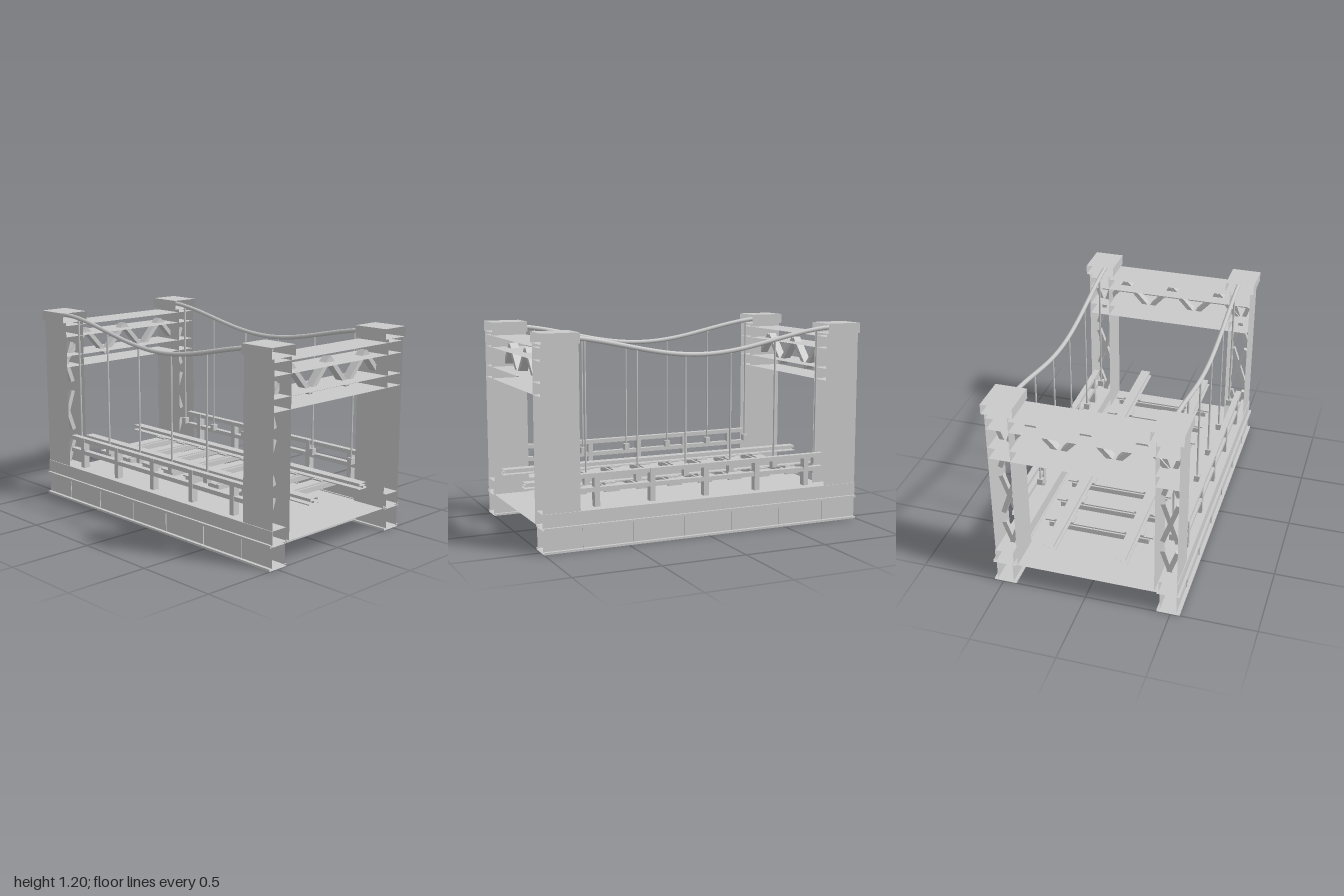
import * as THREE from 'three';

export function createModel() {
  const root = new THREE.Group();
  root.name = 'suspensionBridge';
  const steel = new THREE.MeshStandardMaterial({ color: 0xcacaca, side: THREE.DoubleSide });
  steel.name = 'steelGrey';

  const group = (name) => {
    const g = new THREE.Group();
    g.name = name;
    root.add(g);
    return g;
  };
  const add = (parent, name, geo, x = 0, y = 0, z = 0) => {
    const m = new THREE.Mesh(geo, steel);
    m.name = name;
    m.position.set(x, y, z);
    parent.add(m);
    return m;
  };
  // Solid box given by its ranges
  const box = (parent, name, [x0, x1], [y0, y1], [z0, z1]) =>
    add(parent, name, new THREE.BoxGeometry(x1 - x0, y1 - y0, z1 - z0),
      (x0 + x1) / 2, (y0 + y1) / 2, (z0 + z1) / 2);
  // Box section running along x, open at both ends
  const tube = (...args) => {
    const m = box(...args);
    m.geometry.setIndex(Array.from(m.geometry.index.array).slice(12));
    m.geometry.clearGroups();
    return m;
  };
  // Horizontal, upright lengthwise and upright crosswise sheets
  const flat = (parent, name, [x0, x1], y, [z0, z1]) =>
    add(parent, name, new THREE.PlaneGeometry(x1 - x0, z1 - z0).rotateX(-Math.PI / 2),
      (x0 + x1) / 2, y, (z0 + z1) / 2);
  const wall = (parent, name, [x0, x1], [y0, y1], z) =>
    add(parent, name, new THREE.PlaneGeometry(x1 - x0, y1 - y0), (x0 + x1) / 2, (y0 + y1) / 2, z);
  const cross = (parent, name, x, [y0, y1], [z0, z1]) =>
    add(parent, name, new THREE.PlaneGeometry(z1 - z0, y1 - y0).rotateY(Math.PI / 2),
      x, (y0 + y1) / 2, (z0 + z1) / 2);
  // Bar between two points in the z-y plane
  const bar = (parent, name, x, [za, ya], [zb, yb], w, t) => {
    const m = add(parent, name, new THREE.BoxGeometry(t, w, Math.hypot(zb - za, yb - ya)),
      x, (ya + yb) / 2, (za + zb) / 2);
    m.rotation.x = -Math.atan2(yb - ya, zb - za);
  };
  const span = (s, a, b) => (s > 0 ? [a, b] : [-b, -a]);

  // Base: floor sheet and end cross plates
  const base = group('base');
  flat(base, 'floorPlate', [-1, 1], 0.14, [-0.54, 0.54]);
  for (const s of [1, -1]) cross(base, 'crossPlate', s * 0.77, [0.01, 0.14], [-0.54, 0.54]);

  const cableY = (x) => 1.042 + 0.132 * Math.sin(Math.PI * x / 1.9) ** 2;

  for (const s of [1, -1]) {
    // Side sill: double-web beam with stiffeners and an open curb above
    const sill = group('sideSill');
    tube(sill, 'bottomFlange', [-1, 1], [0, 0.012], span(s, 0.42, 0.555));
    tube(sill, 'topFlange', [-1, 1], [0.13, 0.145], span(s, 0.42, 0.555));
    for (const z of [0.535, 0.437]) wall(sill, 'sillWeb', [-1, 1], [0.01, 0.135], s * z);
    tube(sill, 'curb', [-1, 1], [0.145, 0.22], span(s, 0.43, 0.54));
    for (const x of [-0.47, -0.15, 0.15, 0.47])
      cross(sill, 'stiffener', x, [0.012, 0.13], span(s, 0.432, 0.54));

    // Railing
    const railing = group('railing');
    tube(railing, 'topRail', [-0.78, 0.78], [0.395, 0.42], span(s, 0.48, 0.516));
    tube(railing, 'middleRail', [-0.78, 0.78], [0.315, 0.34], span(s, 0.48, 0.516));
    for (const x of [-0.665, -0.33, 0.003, 0.34, 0.675])
      box(railing, 'railingPost', [x - 0.016, x + 0.016], [0.23, 0.419], span(s, 0.478, 0.518));

    // Main cable with hangers
    const cables = group('cableSide');
    const pts = [];
    for (let i = -10; i <= 10; i++) pts.push(new THREE.Vector3(i * 0.09, cableY(i * 0.09), 0));
    add(cables, 'mainCable',
      new THREE.TubeGeometry(new THREE.CatmullRomCurve3(pts), 40, 0.0135, 8, false), 0, 0, s * 0.447);
    for (const x of [-0.765, -0.48, -0.185, 0.105, 0.405, 0.715]) {
      const h = cableY(x) - 0.38;
      add(cables, 'hanger', new THREE.CylinderGeometry(0.006, 0.006, h, 8), x, 0.38 + h / 2, s * 0.447);
      box(cables, 'hangerClamp', [x - 0.016, x + 0.016], [0.345, 0.385], span(s, 0.43, 0.465));
    }

    // Towers: plate columns enclosing lattice crosses, with open caps
    for (const e of [1, -1]) {
      const tower = group('tower');
      const xr = span(e, 0.78, 1);
      for (const z of [0.535, 0.405]) wall(tower, 'columnPlate', xr, [0.14, 1.14], s * z);
      tube(tower, 'towerCap', xr, [1.14, 1.2], span(s, 0.375, 0.555));
      for (const y of [0.23, 0.555, 0.87]) {
        for (const d of [1, -1])
          bar(tower, 'latticeBar', e * 0.89, [s * 0.467 - d * 0.044, y - 0.128],
            [s * 0.467 + d * 0.044, y + 0.128], 0.027, 0.03);
      }
    }

    // Track rail running the full length: foot, web and head
    const track = group('trackRail');
    tube(track, 'railFoot', [-1, 1], [0.3, 0.306], span(s, 0.17, 0.25));
    wall(track, 'railWeb', [-1, 1], [0.306, 0.32], s * 0.21);
    tube(track, 'railHead', [-1, 1], [0.32, 0.335], span(s, 0.18, 0.24));
  }

  // Sleepers with bearing plates and clips
  const sleepers = group('sleepers');
  for (let i = 0; i < 8; i++) {
    const x = -0.7 + i * 0.2;
    box(sleepers, 'sleeper', [x - 0.043, x + 0.043], [0.255, 0.286], [-0.3, 0.3]);
    box(sleepers, 'bearingPlate', [x - 0.035, x + 0.035], [0.288, 0.296], [-0.325, 0.325]);
    for (const s of [1, -1])
      box(sleepers, 'railClip', [x - 0.035, x + 0.035], [0.296, 0.304], span(s, 0.155, 0.27));
  }

  // Portals: two chords, each a pair of sheets, with a zigzag truss between
  const zig = [[-0.465, 0.9], [-0.31, 1.07], [-0.155, 0.9], [0, 1.07],
    [0.155, 0.9], [0.31, 1.07], [0.465, 0.9]];
  for (const e of [1, -1]) {
    const portal = group('portal');
    for (const y of [1.12, 1.05, 0.93, 0.86])
      flat(portal, 'chordPlate', span(e, 0.78, 1), y, [-0.53, 0.53]);
    for (let i = 0; i < 6; i++) bar(portal, 'trussBar', e * 0.89, zig[i], zig[i + 1], 0.027, 0.05);
  }
  return root;
}
